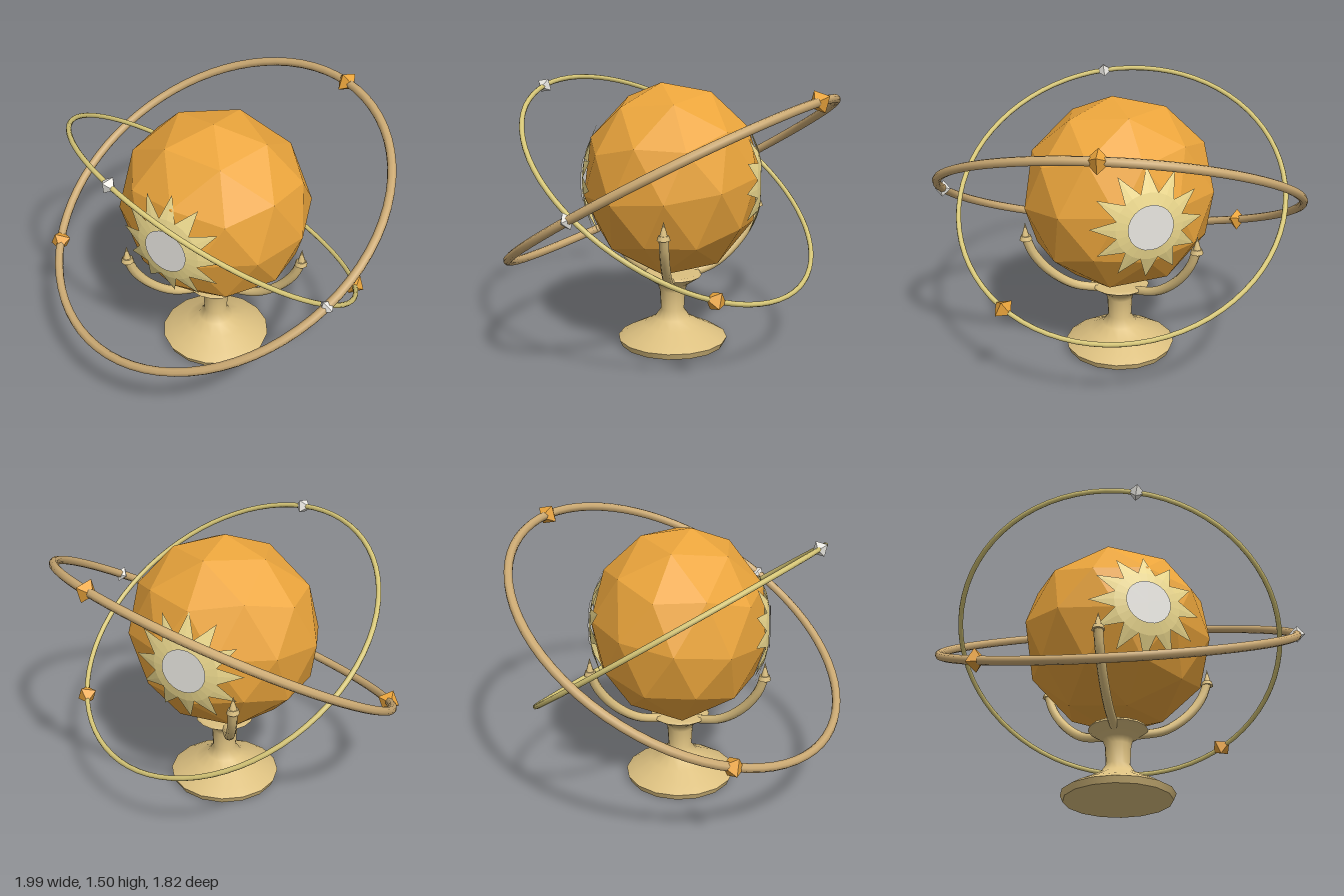
import * as THREE from 'three';

const mat = (color, extra = {}) => new THREE.MeshStandardMaterial({ color, ...extra });
const TAN = mat(0xdcc080);
const ORANGE = mat(0xeba53c, { flatShading: true });
const PALE = mat(0xe8e6e0, { flatShading: true });
const RING_DARK = mat(0xcdab74);
const RING_LIGHT = mat(0xd8c878);
const SUN = mat(0xf0dc90, { flatShading: true, side: THREE.DoubleSide });
const DISC = mat(0xe8e6e0, { side: THREE.DoubleSide });

function part(parent, name, geometry, material) {
  const mesh = new THREE.Mesh(geometry, material);
  mesh.name = name;
  parent.add(mesh);
  return mesh;
}

// Twelve-rayed sun, curved over the slightly flattened globe
function sunGeometry() {
  const rays = 12, n = rays * 2, pos = [];
  const point = (r, i) => {
    const a = (i / n) * Math.PI * 2;
    return [r * Math.sin(a), r * Math.cos(a), 0.497 * Math.sqrt(1 - (r / 0.57) ** 2)];
  };
  const tri = (a, b, c) => pos.push(...a, ...b, ...c);
  for (let i = 0; i < n; i++) {
    const a = point(0.11, i), b = point(0.11, i + 1);
    const c = point(0.185, i), d = point(0.185, i + 1);
    tri(a, b, c);
    tri(b, d, c);
    if (i % 2) tri(c, d, point(0.31, i + 1));
    else tri(c, d, point(0.31, i));
  }
  const g = new THREE.BufferGeometry();
  g.setAttribute('position', new THREE.Float32BufferAttribute(pos, 3));
  g.computeVertexNormals();
  return g;
}

// Tilted orbit ring with octahedral gems
function orbit(name, radius, tube, normal, material, gems) {
  const group = new THREE.Group();
  group.name = name;
  group.position.y = 0.932;
  const n = new THREE.Vector3(...normal).normalize();
  group.quaternion.setFromUnitVectors(new THREE.Vector3(0, 0, 1), n);
  part(group, name + 'Band', new THREE.TorusGeometry(radius, tube, 8, 72), material);
  const inverse = group.quaternion.clone().invert();
  for (const [x, y, z, size, gemMaterial] of gems) {
    const p = new THREE.Vector3(x, y - 0.932, z).applyQuaternion(inverse);
    const angle = Math.atan2(p.y, p.x);
    const gem = part(group, name + 'Gem', new THREE.OctahedronGeometry(size), gemMaterial);
    gem.position.set(radius * Math.cos(angle), radius * Math.sin(angle), 0);
    gem.rotation.z = angle;
  }
  return group;
}

export function createModel() {
  const root = new THREE.Group();
  root.name = 'orreryGlobe';

  // Turned pedestal with a small cup at the top
  const profile = [
    [0, 0], [0.295, 0], [0.295, 0], [0.31, 0.035], [0.31, 0.035], [0.26, 0.065],
    [0.17, 0.11], [0.1, 0.15], [0.066, 0.2], [0.072, 0.31], [0.085, 0.345],
    [0.165, 0.4], [0.165, 0.4], [0.155, 0.415], [0, 0.405],
  ].map(([r, y]) => new THREE.Vector2(r, y));
  part(root, 'pedestal', new THREE.LatheGeometry(profile, 16), TAN);

  // Faceted globe
  const ball = new THREE.IcosahedronGeometry(0.54, 1);
  ball.rotateX(THREE.MathUtils.degToRad(65));
  ball.rotateZ(-0.045);
  ball.scale(1, 1, 0.92);
  part(root, 'globe', ball, ORANGE).position.y = 0.95;

  // Sun emblems on front and back
  for (const [name, turn] of [['frontSun', 0], ['backSun', Math.PI]]) {
    const sun = new THREE.Group();
    sun.name = name;
    sun.position.y = 0.94;
    sun.rotation.y = turn;
    part(sun, name + 'Rays', sunGeometry(), SUN);
    part(sun, name + 'Disc', new THREE.CircleGeometry(0.125, 24), DISC).position.z = 0.493;
    root.add(sun);
  }

  // Three curved arms cradling the globe, each with a pointed finial
  const armCurve = new THREE.CatmullRomCurve3(
    [[0.1, 0.385], [0.27, 0.435], [0.41, 0.54], [0.5, 0.66], [0.538, 0.76]]
      .map(([r, y]) => new THREE.Vector3(r, y, 0)));
  for (let i = 0; i < 3; i++) {
    const arm = new THREE.Group();
    arm.name = 'cradleArm';
    arm.rotation.y = (i * Math.PI * 2) / 3;
    part(arm, 'armStem', new THREE.TubeGeometry(armCurve, 16, 0.026, 8), TAN);
    part(arm, 'armCollar', new THREE.CylinderGeometry(0.028, 0.036, 0.025, 8), TAN)
      .position.set(0.538, 0.757, 0);
    part(arm, 'armFinial', new THREE.ConeGeometry(0.022, 0.08, 8), TAN)
      .position.set(0.54, 0.805, 0);
    root.add(arm);
  }

  // Two tilted orbits
  root.add(orbit('outerOrbit', 0.998, 0.024, [-0.217, 0.86, 0.46], RING_DARK, [
    [0.38, 1.44, -0.79, 0.064, ORANGE],
    [-0.87, 0.53, 0.31, 0.064, ORANGE],
    [0.9, 0.96, 0.45, 0.046, PALE],
  ]));
  root.add(orbit('innerOrbit', 0.903, 0.014, [0.288, 0.813, -0.505], RING_LIGHT, [
    [0.74, 0.5, -0.28, 0.06, ORANGE],
    [-0.15, 1.445, 0.73, 0.046, PALE],
  ]));
  return root;
}
